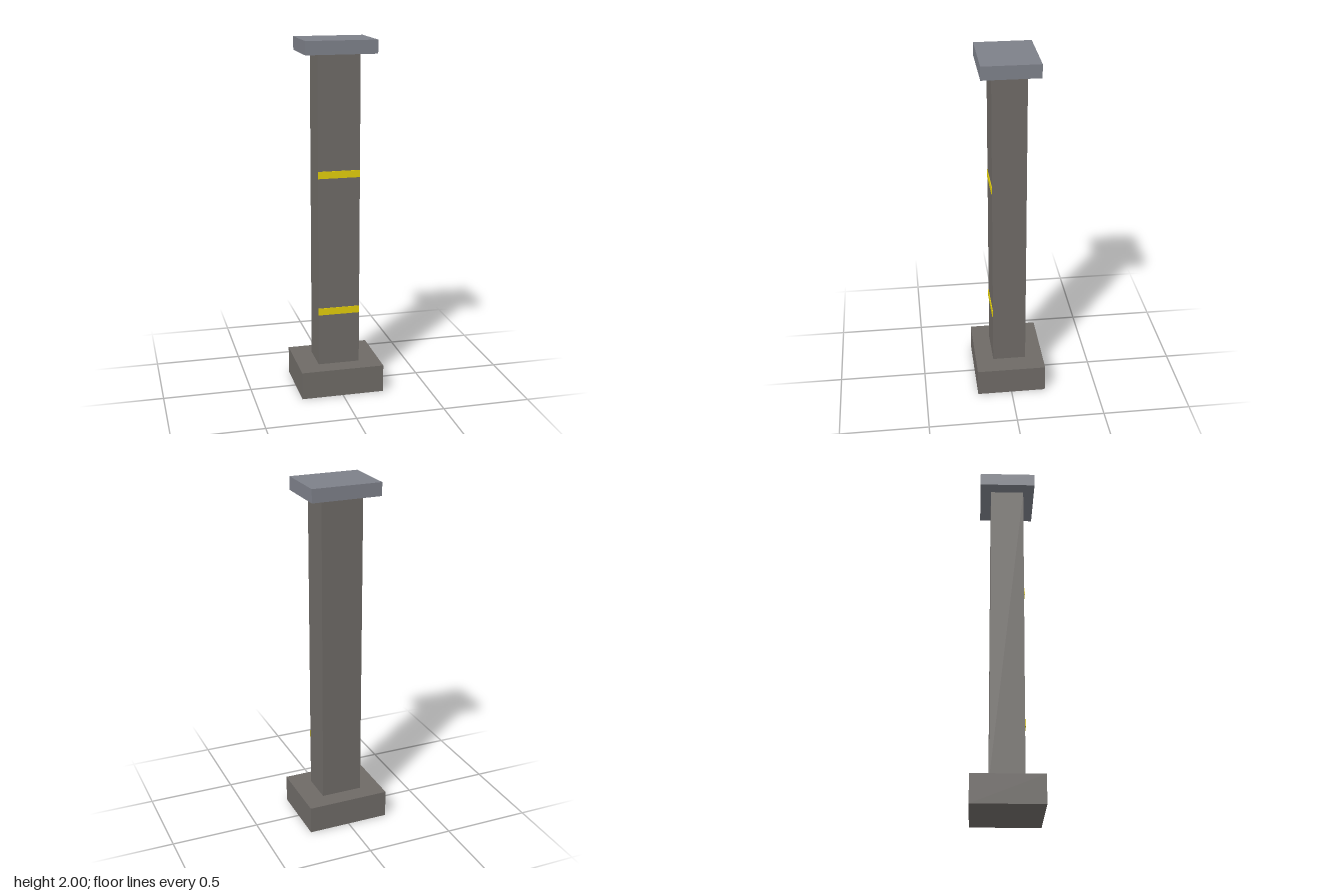
import * as THREE from 'three';

export function createModel() {
  const model = new THREE.Group();
  model.name = 'pillar';

  const stone = new THREE.MeshStandardMaterial({ color: 0x6e6a66 });
  const slate = new THREE.MeshStandardMaterial({ color: 0x7d8089 });
  const yellow = new THREE.MeshStandardMaterial({ color: 0xe0cc0a });

  // Box given by its width, depth and the heights of its bottom and top
  function addBox(name, width, depth, bottom, top, material, z = 0) {
    const mesh = new THREE.Mesh(new THREE.BoxGeometry(width, top - bottom, depth), material);
    mesh.position.set(0, (bottom + top) / 2, z);
    mesh.name = name;
    model.add(mesh);
  }

  addBox('base', 0.474, 0.395, 0, 0.158, stone);
  addBox('shaft', 0.237, 0.19, 0.158, 1.926, stone);
  addBox('cap', 0.395, 0.316, 1.926, 2, slate);

  // Thin painted bands on the front of the shaft
  for (const [name, y] of [['lowerStripe', 0.477], ['upperStripe', 1.268]]) {
    addBox(name, 0.237, 0.004, y - 0.02, y + 0.02, yellow, 0.097);
  }

  return model;
}
